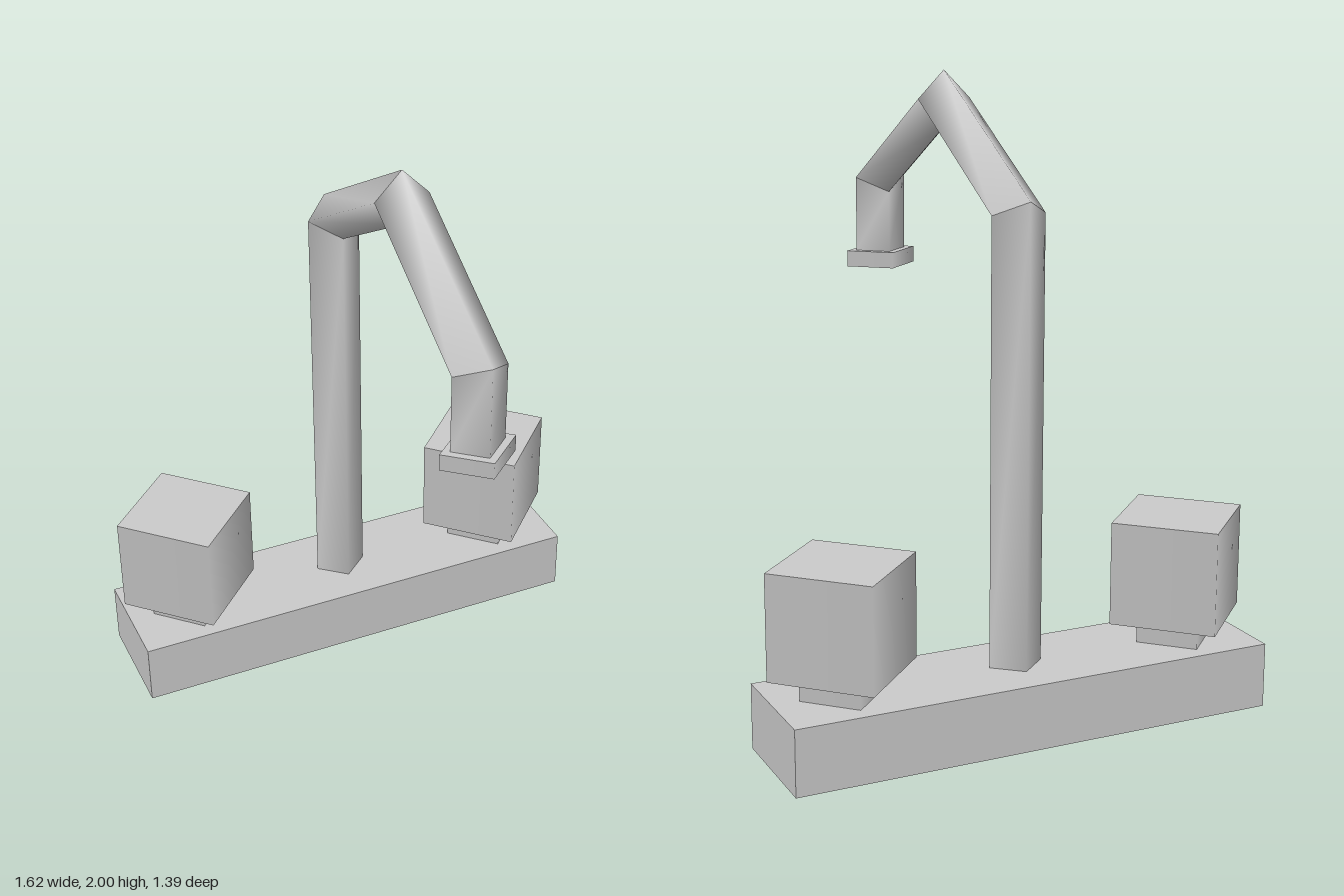
import * as THREE from 'three';

const material = new THREE.MeshStandardMaterial({ color: 0xcccccc });
const BACK_Z = -0.457;

function add(parent, name, geometry, x, y, z) {
  const mesh = new THREE.Mesh(geometry, material);
  mesh.name = name;
  mesh.position.set(x, y, z);
  parent.add(mesh);
  return mesh;
}

// Four-sided prism standing on y0 with a corner facing forward
function prism(parent, name, radius, y0, y1, x, z) {
  const geometry = new THREE.CylinderGeometry(radius, radius, y1 - y0, 4);
  return add(parent, name, geometry, x, (y0 + y1) / 2, z);
}

// One straight length of diamond pipe between two mitred rings
function pipeSection(start, end, halfWidth) {
  const positions = [];
  for (const { y, z, dy, dz } of [start, end]) {
    positions.push(halfWidth, y, z, 0, y + dy, z + dz, -halfWidth, y, z, 0, y - dy, z - dz);
  }
  const index = [];
  for (let k = 0; k < 4; k++) {
    const n = (k + 1) % 4;
    index.push(k, n, 4 + n, k, 4 + n, 4 + k);
  }
  const geometry = new THREE.BufferGeometry();
  geometry.setAttribute('position', new THREE.Float32BufferAttribute(positions, 3));
  geometry.setIndex(index);
  geometry.computeVertexNormals();
  return geometry;
}

export function createModel() {
  const model = new THREE.Group();
  model.name = 'tap';

  // Base block
  add(model, 'base', new THREE.BoxGeometry(1.594, 0.21, 0.38), 0, 0.105, BACK_Z);

  // Pair of handles
  for (const [side, name] of [[1, 'leftHandle'], [-1, 'rightHandle']]) {
    const handle = new THREE.Group();
    handle.name = name;
    prism(handle, 'handleStem', 0.139, 0.21, 0.286, side * 0.573, BACK_Z);
    prism(handle, 'handleKnob', 0.239, 0.286, 0.62, side * 0.573, BACK_Z);
    model.add(handle);
  }

  // Spout: ring centre (y, z) and offset to its outer corner (dy, dz)
  const rings = [
    { y: 0.21, z: BACK_Z, dy: 0, dz: -0.077 },
    { y: 1.61, z: BACK_Z, dy: 0.045, dz: -0.077 },
    { y: 1.911, z: 0.067, dy: 0.089, dz: 0 },
    { y: 1.61, z: 0.591, dy: 0.045, dz: 0.077 },
    { y: 1.36, z: 0.591, dy: 0, dz: 0.077 },
  ];
  const spout = new THREE.Group();
  spout.name = 'spout';
  const names = ['post', 'rearArm', 'frontArm', 'outlet'];
  names.forEach((name, i) => {
    add(spout, name, pipeSection(rings[i], rings[i + 1], 0.089), 0, 0, 0);
  });

  // Collar on the outlet, slightly wider than deep
  prism(spout, 'nozzle', 0.124, 1.306, 1.36, 0, 0.591).scale.z = 0.107 / 0.124;
  model.add(spout);

  return model;
}
